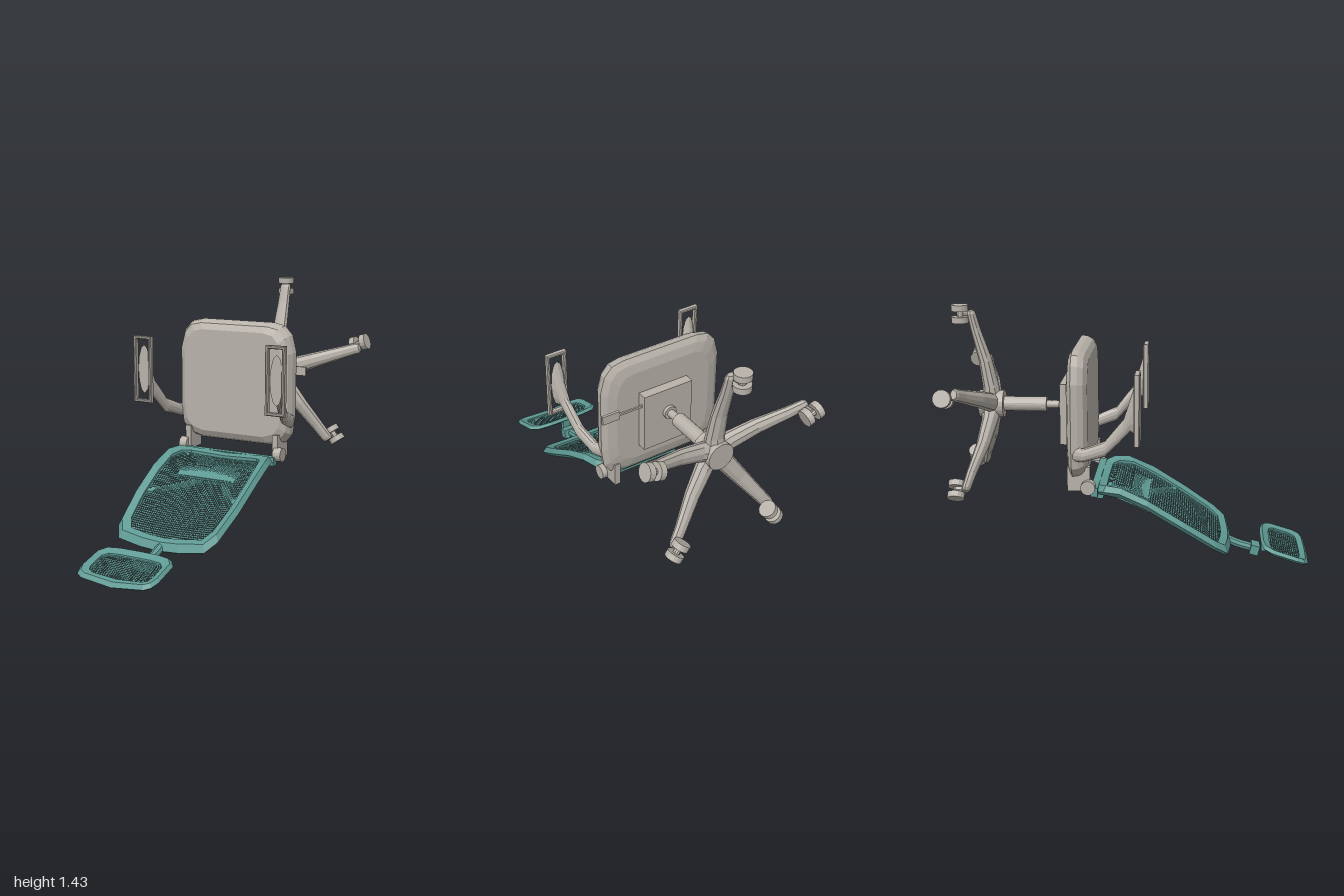
import * as THREE from 'three';

const grey = new THREE.MeshStandardMaterial({ color: 0xb8b2aa, flatShading: true });
const teal = new THREE.MeshStandardMaterial({ color: 0x5f9a94, flatShading: true });
const weave = new THREE.MeshStandardMaterial({ color: 0x5f9a94, flatShading: true, side: THREE.DoubleSide });

function add(parent, name, geometry, material, x = 0, y = 0, z = 0) {
  const mesh = new THREE.Mesh(geometry, material);
  mesh.name = name;
  mesh.position.set(x, y, z);
  parent.add(mesh);
  return mesh;
}

// Skin a list of equal-length rings; either capped at the ends or joined into a loop.
function loft(rings, loop = false) {
  const n = rings[0].length, m = rings.length;
  const pos = rings.flat(2);
  let idx = [];
  for (let i = 0; i < (loop ? m : m - 1); i++) {
    for (let j = 0; j < n; j++) {
      const a = i * n + j, b = i * n + (j + 1) % n;
      const c = ((i + 1) % m) * n + j, d = ((i + 1) % m) * n + (j + 1) % n;
      idx.push(a, b, c, b, d, c);
    }
  }
  if (!loop) {
    const last = (m - 1) * n;
    for (let j = 1; j < n - 1; j++) idx.push(0, j + 1, j, last, last + j, last + j + 1);
  }
  // turn the faces outward if the enclosed volume comes out negative
  const p = i => new THREE.Vector3().fromArray(pos, idx[i] * 3);
  let volume = 0;
  for (let i = 0; i < idx.length; i += 3) volume += p(i).dot(p(i + 1).cross(p(i + 2)));
  if (volume < 0) idx = idx.reverse();
  const g = new THREE.BufferGeometry();
  g.setAttribute('position', new THREE.Float32BufferAttribute(pos, 3));
  g.setIndex(idx);
  g.computeVertexNormals();
  return g;
}

const ellipse = (n, fn) => Array.from({ length: n }, (_, i) => {
  const a = (i / n) * Math.PI * 2;
  return fn(Math.cos(a), Math.sin(a));
});

// Value at t along a list of [value, t] points.
function sample(points, t) {
  for (let i = 1; i < points.length; i++) {
    const [v0, t0] = points[i - 1], [v1, t1] = points[i];
    if (t <= t1 && t1 > t0) return v0 + (v1 - v0) * Math.max(0, (t - t0) / (t1 - t0));
  }
  return points[points.length - 1][0];
}

// A curved frame with woven netting; half is the +x outline as [x, z].
function panel(parent, name, half, topY, thick, rim, cols, rows) {
  const z0 = half[0][1], z1 = half[half.length - 1][1], mid = (z0 + z1) / 2;
  const maxX = Math.max(...half.map(p => p[0]));
  const inset = ([x, z], d) => [x * (1 - d / maxX), mid + (z - mid) * (1 - d / (z1 - mid))];
  const outline = [...half, ...half.slice(1, -1).reverse().map(([x, z]) => [-x, z])];
  const rings = outline.map(p =>
    [[0, 0.55], [0.3, 0], [1, 0.25], [1, 0.75], [0.4, 1]].map(([d, drop]) => {
      const [x, z] = inset(p, d * rim);
      return [x, topY(x, z) - thick * drop, z];
    }));
  add(parent, name + 'Frame', loft(rings, true), teal);

  const inner = half.map(p => inset(p, rim * 0.8));
  const za = inner[0][1], zb = inner[inner.length - 1][1];
  const pos = [], idx = [];
  const point = (u, v) => {
    const z = za + (zb - za) * v, x = sample(inner, z) * (u * 2 - 1);
    return [x, topY(x, z) - thick * 0.5, z];
  };
  const quad = (u0, u1, v0, v1) => {
    const k = pos.length / 3;
    pos.push(...point(u0, v0), ...point(u0, v1), ...point(u1, v1), ...point(u1, v0));
    idx.push(k, k + 1, k + 2, k, k + 2, k + 3);
  };
  const f = 0.5; // thread width as a share of one cell
  for (let i = 0; i < cols; i++) {
    for (let j = 0; j < rows; j++) {
      quad(i / cols, (i + f) / cols, j / rows, (j + 1) / rows);
      quad((i + f) / cols, (i + 1) / cols, j / rows, (j + f) / rows);
    }
  }
  const g = new THREE.BufferGeometry();
  g.setAttribute('position', new THREE.Float32BufferAttribute(pos, 3));
  g.setIndex(idx);
  g.computeVertexNormals();
  add(parent, name + 'Netting', g, weave);
}

function tube(points, radius, sides = 6) {
  const curve = new THREE.CatmullRomCurve3(points.map(p => new THREE.Vector3(...p)));
  return new THREE.TubeGeometry(curve, 10, radius, sides);
}

// Cylinder lying along z from za to zb.
function cylZ(r, za, zb, sides = 20) {
  return new THREE.CylinderGeometry(r, r, Math.abs(zb - za), sides)
    .rotateX(Math.PI / 2).translate(0, 0, (za + zb) / 2);
}

function buildSeat(g) {
  const right = [[0.23, 1.23], [0.3, 1.215], [0.345, 1.165], [0.37, 1.07],
    [0.37, 0.7], [0.355, 0.6], [0.315, 0.55], [0.23, 0.525]];
  const outline = [...right, ...right.slice().reverse().map(([x, y]) => [-x, y])];
  const rows = [[-0.22, 0.055], [-0.24, 0.02], [-0.27, 0.005], [-0.305, 0], [-0.325, 0.03], [-0.337, 0.08]];
  add(g, 'seatCushion', loft(rows.map(([z, d]) => outline.map(([x, y]) =>
    [x * (1 - d / 0.37), 0.877 + (y - 0.877) * (1 - d / 0.355), z]))), grey);
  add(g, 'tiltMechanism', new THREE.BoxGeometry(0.3, 0.34, 0.055), grey, 0.005, 0.85, -0.363);
  add(g, 'leverRod', new THREE.BoxGeometry(0.17, 0.012, 0.01), grey, 0.23, 0.955, -0.367);
  add(g, 'leverPaddle', new THREE.BoxGeometry(0.1, 0.05, 0.014), grey, 0.35, 0.955, -0.367);
}

function buildBase(g) {
  const base = new THREE.Group();
  base.name = 'base';
  base.position.y = 0.875;
  g.add(base);
  add(base, 'columnCollar', cylZ(0.038, -0.385, -0.41), grey);
  add(base, 'gasLift', cylZ(0.022, -0.39, -0.5), grey);
  add(base, 'column', cylZ(0.041, -0.48, -0.74), grey);
  add(base, 'hub', cylZ(0.077, -0.72, -0.857), grey);
  // radius, z, half width, half thickness
  const sections = [[0.03, -0.79, 0.055, 0.055], [0.1, -0.795, 0.053, 0.045], [0.25, -0.822, 0.046, 0.037],
    [0.42, -0.872, 0.037, 0.028], [0.51, -0.893, 0.034, 0.024], [0.525, -0.895, 0.025, 0.017]];
  const legGeo = loft(sections.map(([r, z, w, t]) => ellipse(10, (c, s) => [w * c, r, z + t * s])));
  for (let i = 0; i < 5; i++) {
    const leg = new THREE.Group();
    leg.name = 'leg' + (i + 1);
    leg.rotation.z = i * Math.PI * 2 / 5;
    base.add(leg);
    add(leg, 'legArm', legGeo, grey);
    add(leg, 'casterStem', cylZ(0.015, -0.89, -0.955, 10), grey, -0.01, 0.51);
    add(leg, 'casterAxle', new THREE.CylinderGeometry(0.018, 0.018, 0.07, 10), grey, -0.025, 0.51, -0.951);
    for (const s of [-1, 1])
      add(leg, 'casterWheel', new THREE.CylinderGeometry(0.048, 0.048, 0.034, 16), grey, -0.025, 0.51 + s * 0.033, -0.951);
  }
}

function rectangle(path, w, h) {
  path.moveTo(-w, -h);
  path.lineTo(w, -h);
  path.lineTo(w, h);
  path.lineTo(-w, h);
  path.closePath();
  return path;
}

function buildArm(g, s) {
  const arm = new THREE.Group();
  arm.name = s > 0 ? 'leftArmrest' : 'rightArmrest';
  g.add(arm);
  // z, x, y, half width, half height: flares into an oval under the pad
  const sections = [[-0.3, 0.34, 0.685, 0.025, 0.04], [-0.24, 0.367, 0.685, 0.028, 0.038], [-0.12, 0.39, 0.73, 0.026, 0.042],
    [-0.02, 0.41, 0.845, 0.024, 0.052], [0.015, 0.42, 0.92, 0.028, 0.085], [0.045, 0.425, 0.96, 0.04, 0.14]];
  add(arm, 'armSupport', loft(sections.map(([z, x, y, a, b]) =>
    ellipse(12, (c, t) => [s * (x + a * c), y + b * t, z]))), grey);
  const shape = rectangle(new THREE.Shape(), 0.054, 0.186);
  shape.holes.push(rectangle(new THREE.Path(), 0.046, 0.178));
  const rim = new THREE.ExtrudeGeometry(shape, { depth: 0.022, bevelThickness: 0.005, bevelSize: 0.005, bevelSegments: 1 });
  add(arm, 'armPadFrame', rim, grey, s * 0.425, 0.96, 0.043);
}

function buildBack(g) {
  const back = new THREE.Group();
  back.name = 'backrest';
  g.add(back);
  const profile = [[0.49, -0.2], [0.505, -0.1], [0.485, 0], [0.43, 0.1], [0.37, 0.2], [0.24, 0.41], [0.135, 0.57]];
  const topY = (x, z) => sample(profile, z) - 0.02 * (1 - (x / 0.345) ** 2);
  panel(back, 'back', [[0, -0.19], [0.26, -0.185], [0.31, -0.14], [0.335, -0.05], [0.345, 0.1], [0.34, 0.3],
    [0.315, 0.48], [0.27, 0.545], [0.12, 0.56], [0, 0.565]], topY, 0.06, 0.06, 44, 54);
  add(back, 'lumbarPad', new THREE.BoxGeometry(0.37, 0.025, 0.1), teal, 0.01, 0.39, 0.05).rotation.x = 0.35;
  // rear brace
  for (const s of [-1, 1])
    add(back, 'backBrace', tube([[s * 0.31, 0.29, 0.26], [s * 0.18, 0.315, 0.13],
      [s * 0.08, 0.335, 0.01], [s * 0.055, 0.4, -0.18]], 0.02), teal);
  add(back, 'spinePlate', new THREE.BoxGeometry(0.11, 0.025, 0.2), teal, 0, 0.37, -0.085).rotation.x = 0.34;
  add(back, 'hingeBar', new THREE.BoxGeometry(0.6, 0.05, 0.04), teal, 0, 0.455, -0.19);
  add(back, 'spineBar', new THREE.BoxGeometry(0.4, 0.03, 0.035), teal, 0, 0.405, -0.165);

  // hinges joining the seat
  for (const s of [-1, 1]) {
    add(g, 'hingeBracket', new THREE.BoxGeometry(0.035, 0.135, 0.125), grey, s * 0.288, 0.533, -0.272);
    add(g, 'hingeKnuckle', new THREE.CylinderGeometry(0.04, 0.04, 0.05, 16).rotateZ(Math.PI / 2), grey, s * 0.31, 0.49, -0.22);
  }

  // neck and headrest
  add(back, 'neck', tube([[0, 0.1, 0.54], [0, 0.075, 0.6], [0, 0.045, 0.71]], 0.025, 8), teal);
  add(back, 'neckCollar', new THREE.BoxGeometry(0.095, 0.055, 0.05), teal, 0, 0.047, 0.7).rotation.x = 0.25;
  add(back, 'neckRiser', new THREE.BoxGeometry(0.05, 0.08, 0.025), teal, 0, 0.078, 0.75);
  const headY = (x, z) => {
    const t = (z - 0.73) / 0.27;
    return 0.14 - 0.08 * t - 0.025 * t * (1 - (x / 0.24) ** 2);
  };
  panel(back, 'headrest', [[0, 0.73], [0.12, 0.732], [0.2, 0.745], [0.236, 0.79], [0.24, 0.93],
    [0.225, 0.975], [0.19, 0.992], [0, 1]], headY, 0.036, 0.05, 28, 16);
}

export function createModel() {
  const g = new THREE.Group();
  g.name = 'officeChair';
  buildSeat(g);
  buildBase(g);
  buildArm(g, 1);
  buildArm(g, -1);
  buildBack(g);
  return g;
}
